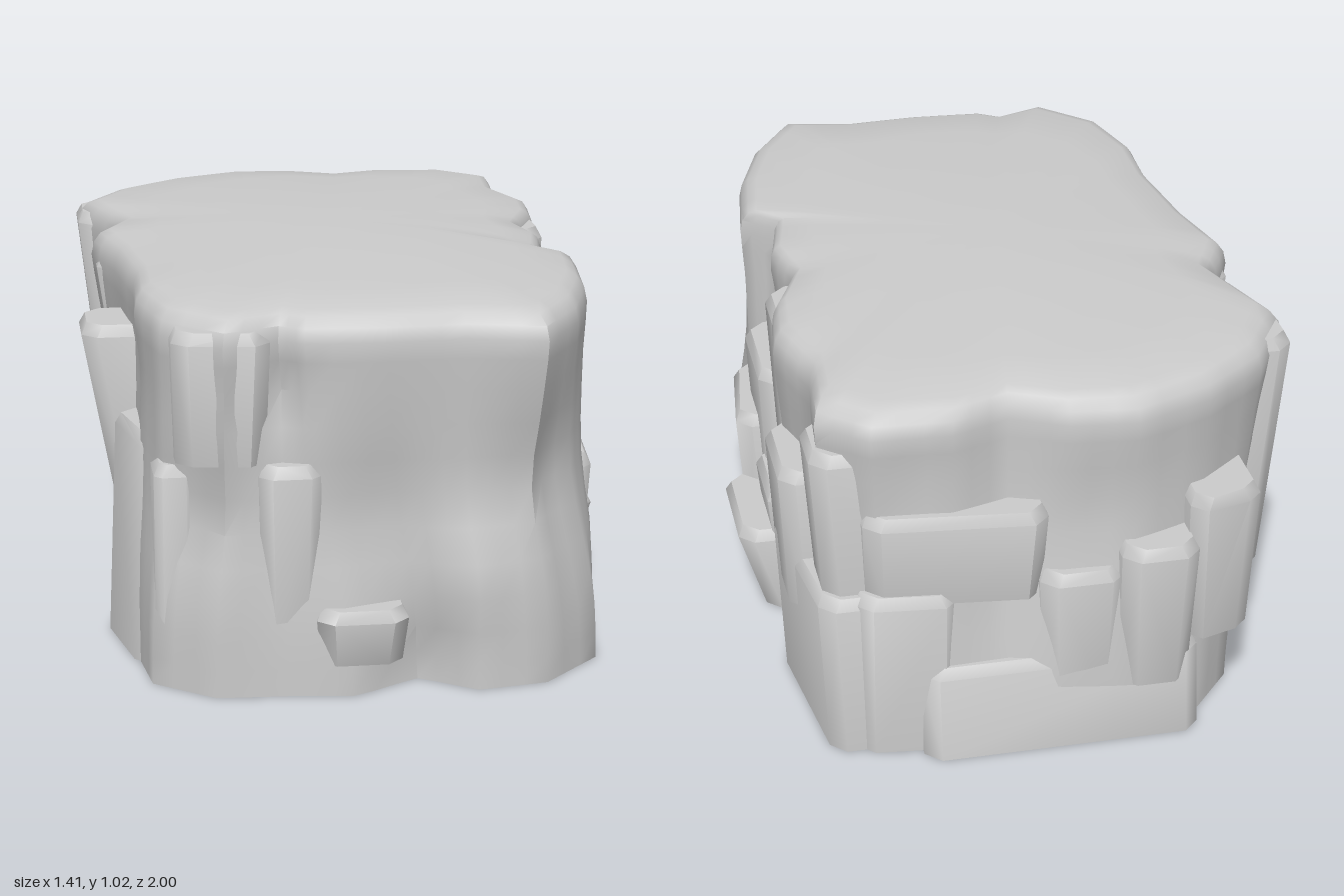
import * as THREE from 'three';
import { toCreasedNormals } from 'three/addons/utils/BufferGeometryUtils.js';
import { ConvexGeometry } from 'three/addons/geometries/ConvexGeometry.js';

// Plan outlines (x, z), running back -> +x side -> front -> -x side
const RIM = [
  [-.57, -.74], [-.4, -.87], [-.2, -.95], [-.03, -.93], [.11, -.86], [.26, -.92], [.46, -.91], [.58, -.8],
  [.56, -.6], [.62, -.4], [.6, -.24], [.52, -.06], [.56, .1], [.52, .28], [.6, .36], [.57, .6],
  [.5, .82], [.39, 1], [.2, .95], [0, .96], [-.2, .95], [-.26, .91], [-.4, .97], [-.54, .82],
  [-.59, .6], [-.58, .38], [-.61, .1], [-.66, -.12], [-.58, -.27], [-.68, -.56],
];
const BASE = [
  [-.51, -.74], [-.4, -.87], [-.22, -.95], [0, -.95], [.12, -.93], [.28, -.92], [.44, -.87], [.55, -.78],
  [.6, -.6], [.6, -.42], [.54, -.24], [.55, -.06], [.55, .1], [.56, .28], [.59, .42], [.59, .6],
  [.58, .76], [.42, .92], [.24, .95], [.1, .87], [-.08, .95], [-.24, .93], [-.42, .92], [-.57, .8],
  [-.59, .64], [-.59, .4], [-.53, .12], [-.52, -.14], [-.52, -.3], [-.52, -.52],
];
// Wall rings: height, blend from base to rim, inset towards the centre
const RINGS = [
  [0, 0, 1], [.07, .03, 1], [.15, .1, 1], [.24, .22, .997], [.33, .36, .993], [.42, .5, .988],
  [.51, .62, .985], [.6, .73, .985], [.69, .83, .987], [.78, .92, .99], [.86, .97, .997], [.91, 1, 1],
  [.945, 1, .99], [.97, 1, .965], [.982, 1, .93], [.996, 1, .75], [1.012, 1, .4],
];
// Hollows (positive depth) and swells (negative): x, y, z, radius, depth
const DENTS = [
  [.42, .52, .9, .2, .06], [.1, .05, .9, .09, .03], [-.47, .45, .88, .13, .04], [-.05, .45, .95, .16, .03],
  [.22, .3, .93, .12, -.03], [-.26, .78, .93, .07, .03], [.53, .3, .8, .12, .01], [.55, .8, .15, .12, .02],
  [.57, .6, -.5, .14, .02], [.57, .3, .62, .14, -.02], [-.6, .55, .05, .14, .01], [-.6, .5, -.35, .12, .02],
  [-.57, .75, .5, .13, .02], [.35, .8, -.9, .12, .01], [-.1, .65, -.92, .14, .02], [.55, .55, -.8, .1, .02],
];
const SPLIT = 3;

// Point on a closed outline, with SPLIT steps between corners
function along(outline, k) {
  const i = Math.floor(k / SPLIT), f = (k % SPLIT) / SPLIT;
  const a = outline[i], b = outline[(i + 1) % outline.length];
  return new THREE.Vector2(a[0] + (b[0] - a[0]) * f, a[1] + (b[1] - a[1]) * f);
}

// Main mass: lofted wall with hollows, domed cap and flat underside
function bodyGeometry() {
  const n = RIM.length * SPLIT, pos = [], idx = [];
  RINGS.forEach(([y, t, s]) => {
    for (let k = 0; k < n; k++) {
      const p = along(BASE, k).lerp(along(RIM, k), t).multiplyScalar(s);
      // Inner cap rings turn into smooth ovals
      const oval = p.clone().multiplyScalar(s / Math.hypot(p.x / .62, p.y / 1));
      p.lerp(oval, Math.min(1, (1 - s) * 1.6));
      let push = 0;
      for (const [x, h, z, r, d] of DENTS) {
        push += d * Math.exp(-((p.x - x) ** 2 + (y - h) ** 2 + (p.y - z) ** 2) / (r * r));
      }
      p.multiplyScalar(1 - push / p.length());
      pos.push(p.x, y, p.y);
    }
  });
  const bottom = pos.length / 3, top = bottom + 1, last = (RINGS.length - 1) * n;
  pos.push(0, 0, 0, -.05, 1.02, 0);
  for (let i = 0; i < n; i++) {
    const j = (i + 1) % n;
    for (let r = 0; r < RINGS.length - 1; r++) {
      const a = r * n + i, b = r * n + j;
      idx.push(a, a + n, b, b, a + n, b + n);
    }
    idx.push(bottom, i, j, top, last + j, last + i);
  }
  const g = new THREE.BufferGeometry();
  g.setAttribute('position', new THREE.Float32BufferAttribute(pos, 3));
  g.setIndex(idx);
  return toCreasedNormals(g, .9);
}

// Chipped slab on one side: u range along the wall, heights,
// outward reach at bottom and top, sideways lean of the top, reach lost towards u1
function slabGeometry(place, [u0, u1, y0, y1, d0, d1, lean = 0, skew = 0]) {
  const c = Math.min(.04, (u1 - u0) * .2);
  const points = [];
  const ring = (y, d, k, shift) => {
    const a = u0 + k + shift, b = u1 - k + shift, e = d - skew;
    [[a, d - .25], [a, d - c - k], [a + c, d - k], [b - c, e - k], [b, e - c - k], [b, e - .25]]
      .forEach(([u, r]) => points.push(place(u, y, r)));
  };
  ring(y0, d0, y0 > 0 ? .01 : 0, 0);
  ring(y1 - .03, d1, 0, lean);
  ring(y1, d1, .015, lean);
  return toCreasedNormals(new ConvexGeometry(points), .85);
}

const SIDES = {
  leftSlab: {
    place: (u, y, d) => new THREE.Vector3(d, y, u),
    slabs: [
      [-.17, .18, 0, .25, .63, .7], [.12, .47, 0, .45, .63, .66, 0, .03], [-.88, -.4, 0, .45, .57, .59, 0, -.05],
      [-.02, .32, .25, .65, .6, .61], [-.66, -.36, .3, .7, .64, .65], [-.86, -.64, .4, .85, .58, .6],
      [-.2, .1, .05, .37, .6, .62], [-.4, -.14, .2, .95, .58, .6, .06],
    ],
  },
  rightSlab: {
    place: (u, y, d) => new THREE.Vector3(-d, y, u),
    slabs: [
      [.12, .34, .35, .82, .64, .71, .01], [.34, .66, 0, .6, .655, .63, 0, .05],
      [-.7, -.48, .3, .95, .62, .68, .03], [.04, .28, 0, .25, .57, .6],
      [-.26, -.06, .2, .92, .56, .65, .06], [-.12, .12, .1, .6, .57, .61, .05],
      [-.48, -.28, .15, .72, .56, .62, .05],
    ],
  },
  frontSlab: {
    place: (u, y, d) => new THREE.Vector3(u, y, d),
    slabs: [
      [-.17, .06, .08, .23, .96, .985], [-.31, -.15, .12, .6, .93, .95], [-.52, -.28, .6, .94, .92, .94, 0, -.02],
      [-.56, -.46, 0, .58, .82, .83],
    ],
  },
  backSlab: {
    place: (u, y, d) => new THREE.Vector3(u, y, -d),
    slabs: [
      [-.36, -.16, .15, .57, .97, 1], [-.18, .04, .1, .5, .95, .96], [.02, .48, .43, .69, .94, .96, 0, .04],
      [-.38, .34, 0, .25, .97, .94], [-.53, -.34, .25, .68, .91, .94, 0, -.03], [.24, .5, 0, .46, .92, .93, 0, .02],
    ],
  },
};

export function createModel() {
  const group = new THREE.Group();
  group.name = 'rock';
  const material = new THREE.MeshStandardMaterial({ color: 0xcccccc });
  const add = (name, geometry) => {
    const mesh = new THREE.Mesh(geometry, material);
    mesh.name = name;
    group.add(mesh);
  };
  add('rockBody', bodyGeometry());
  for (const [name, { place, slabs }] of Object.entries(SIDES)) {
    slabs.forEach((s, i) => add(name + (i + 1), slabGeometry(place, s)));
  }
  return group;
}
